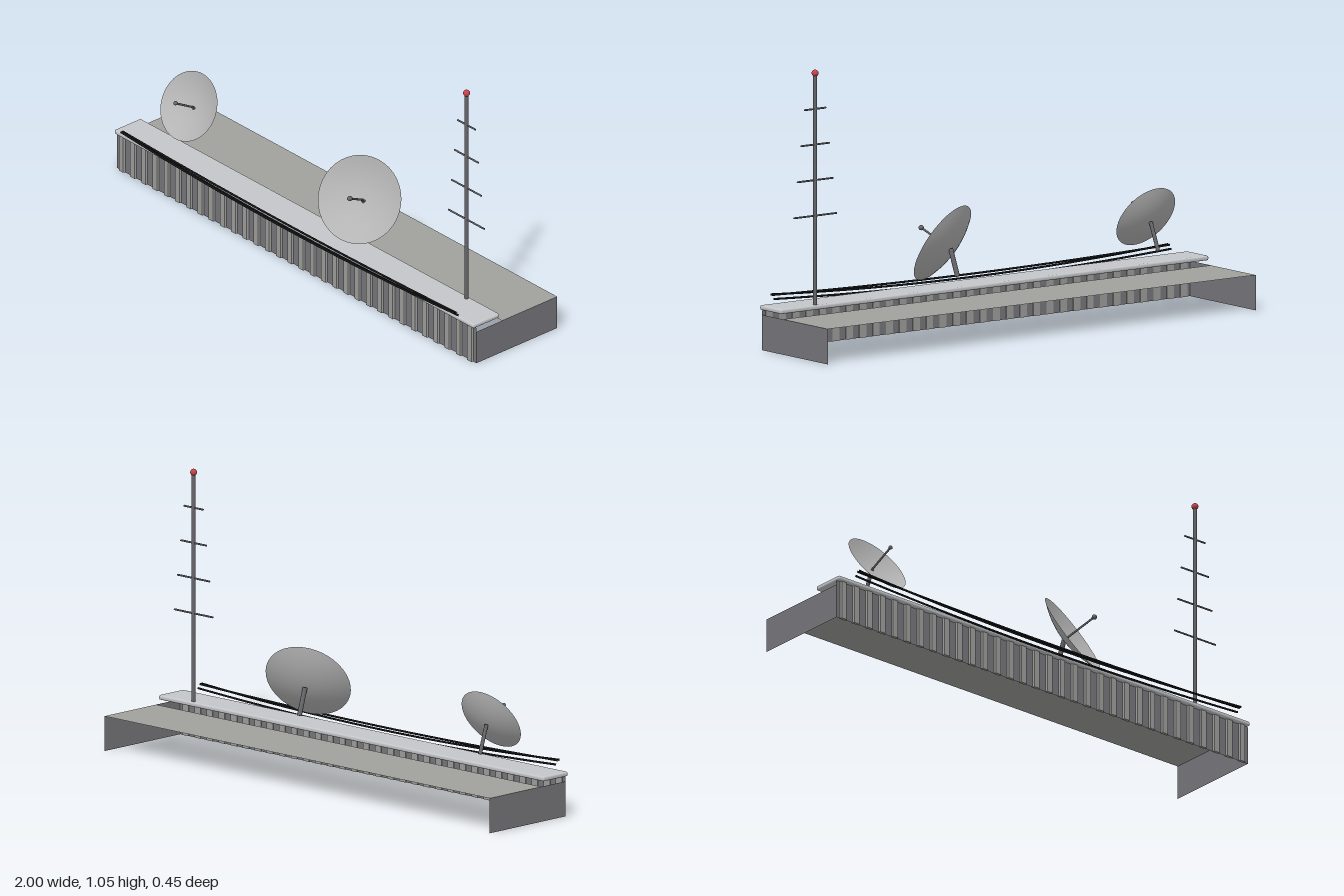
import * as THREE from 'three';
import { RoundedBoxGeometry } from 'three/addons/geometries/RoundedBoxGeometry.js';

const V = (x, y, z) => new THREE.Vector3(x, y, z);

function material(name, color, side = THREE.FrontSide) {
  const m = new THREE.MeshStandardMaterial({ color, side });
  m.name = name;
  return m;
}

export function createModel() {
  const roofGrey = material('roof grey', 0xa0a29c, THREE.DoubleSide);
  const wallGrey = material('wall grey', 0x76767b, THREE.DoubleSide);
  const ribGrey = material('rib grey', 0x9c9c9a);
  const ledgeGrey = material('ledge grey', 0xc4c6c9);
  const dishGrey = material('dish grey', 0xb4b4b4, THREE.DoubleSide);
  const steel = material('dark steel', 0x66666b);
  const black = material('cable black', 0x151517);
  const red = material('beacon red', 0xc8424c);

  const model = new THREE.Group();
  model.name = 'rooftop';

  function add(name, geometry, mat, pos = V(0, 0, 0), parent = model) {
    const mesh = new THREE.Mesh(geometry, mat);
    mesh.name = name;
    mesh.position.copy(pos);
    parent.add(mesh);
    return mesh;
  }

  // Round bar between two points
  function bar(name, a, b, r, mat, parent = model) {
    const d = b.clone().sub(a);
    const mesh = add(name, new THREE.CylinderGeometry(r, r, d.length(), 10), mat, a.clone().lerp(b, 0.5), parent);
    mesh.quaternion.setFromUnitVectors(V(0, 1, 0), d.normalize());
    return mesh;
  }

  // Roof sheet, stopping beneath the ledge
  const roof = new THREE.PlaneGeometry(2, 0.275).rotateX(-Math.PI / 2);
  add('roof', roof, roofGrey, V(0, 0.133, -0.0875));

  // End walls; the back stays open
  for (const s of [-1, 1]) {
    const wall = new THREE.PlaneGeometry(0.403, 0.133).rotateY(s * Math.PI / 2);
    add('endWall', wall, wallGrey, V(s, 0.0665, -0.0235));
  }

  // Ribbed front wall
  add('frontWall', new THREE.PlaneGeometry(2, 0.15), wallGrey, V(0, 0.075, 0.178));
  const ribs = 32, pitch = 2 / ribs;
  const profile = new THREE.Shape([
    new THREE.Vector2(-0.016, 0.004), new THREE.Vector2(-0.012, -0.008),
    new THREE.Vector2(0.012, -0.008), new THREE.Vector2(0.016, 0.004),
  ]);
  const rib = new THREE.ExtrudeGeometry(profile, { depth: 0.15, bevelEnabled: false }).rotateX(-Math.PI / 2);
  for (let i = 0; i < ribs; i++) add('wallRib', rib, ribGrey, V(-1 + (i + 0.5) * pitch, 0, 0.178));

  // Rounded ledge along the front
  add('ledge', new RoundedBoxGeometry(2, 0.018, 0.132, 3, 0.007), ledgeGrey, V(0, 0.159, 0.127));

  // Satellite dish with feed arm and support strut
  function dish(c, n, R) {
    const g = new THREE.Group();
    g.name = 'dish';
    model.add(g);
    n.normalize();
    const depth = 0.24 * R, points = [];
    for (let i = 0; i <= 8; i++) points.push(new THREE.Vector2(R * i / 8, depth * ((i / 8) ** 2 - 1)));
    const bowl = add('bowl', new THREE.LatheGeometry(points, 40), dishGrey, c, g);
    bowl.quaternion.setFromUnitVectors(V(0, 1, 0), n);
    const back = c.clone().addScaledVector(n, -depth);
    const tip = c.clone().addScaledVector(n, 0.62 * R);
    bar('feedArm', back, tip, 0.004, steel, g);
    add('feedHorn', new THREE.SphereGeometry(R * 0.06, 14, 10), steel, tip, g);
    bar('strut', back, V(back.x - 0.005, 0.22, 0.008), R * 0.055, steel, g);
  }
  dish(V(0.235, 0.34, 0.075), V(0.36, 0.49, 0.8), 0.166);
  dish(V(-0.715, 0.342, 0.075), V(0.06, 0.5, 0.86), 0.133);

  // Antenna mast with crossbars and beacon
  const mx = 0.83, mz = 0.075;
  bar('mast', V(mx, 0.16, mz), V(mx, 1.035, mz), 0.008, steel);
  for (let i = 0; i < 4; i++) {
    const y = 0.503 + i * 0.134, half = 0.1 - i * 0.0167;
    bar('crossbar', V(mx - half, y, mz), V(mx + half, y, mz), 0.0035, steel);
  }
  add('beacon', new THREE.SphereGeometry(0.013, 18, 12), red, V(mx, 1.04, mz));

  // Sagging cables: depth, end height, middle height
  for (const [z, end, mid] of [[0.221, 0.197, 0.167], [0.212, 0.196, 0.181], [0.202, 0.182, 0.157]]) {
    const curve = new THREE.QuadraticBezierCurve3(V(-0.93, end, z), V(0, 2 * mid - end, z), V(0.93, end, z));
    add('cable', new THREE.TubeGeometry(curve, 24, 0.004, 8), black);
  }

  return model;
}
